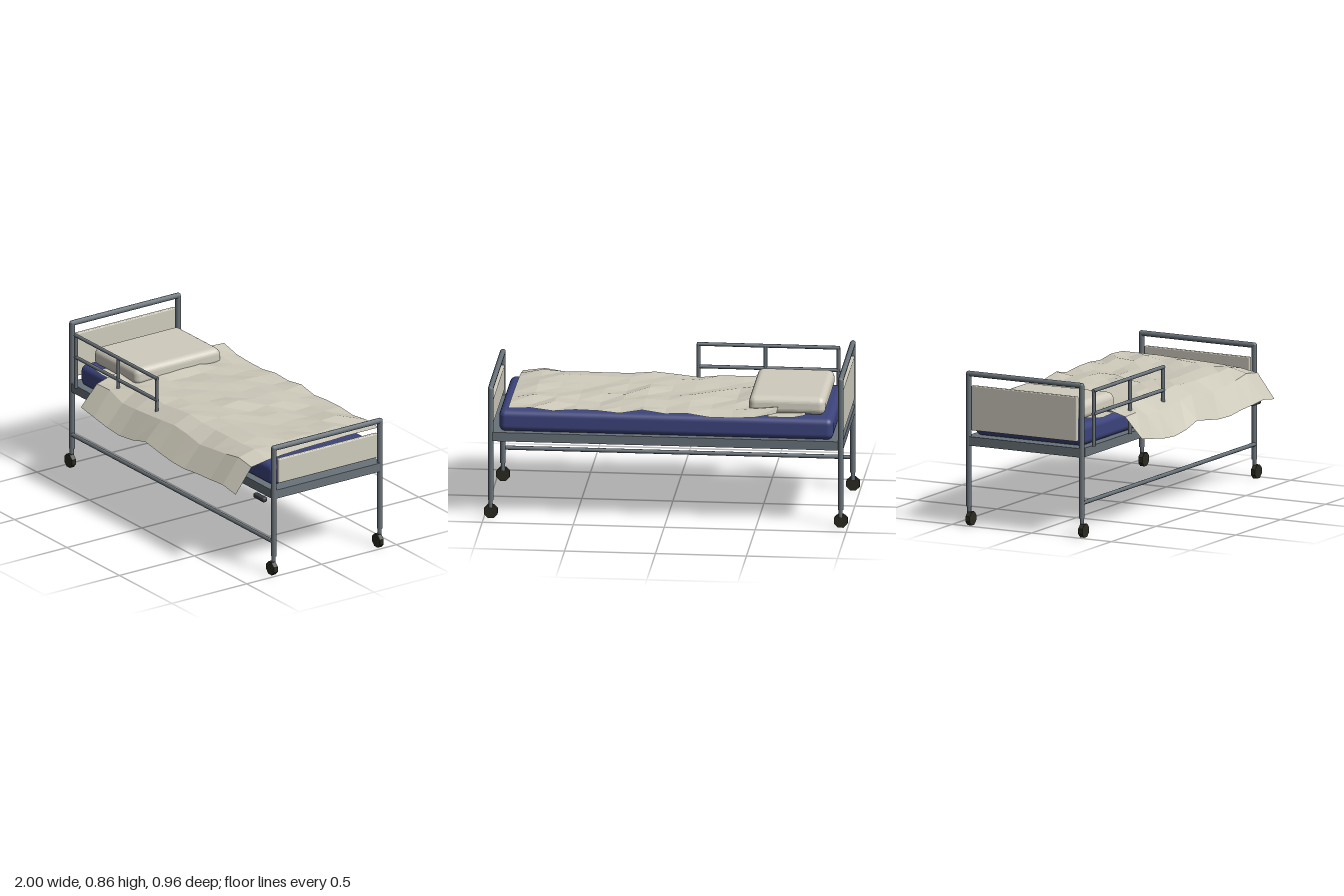
import * as THREE from 'three';
import { RoundedBoxGeometry } from 'three/addons/geometries/RoundedBoxGeometry.js';

const mat = (name, color, extra = {}) => {
  const m = new THREE.MeshStandardMaterial({ color, ...extra });
  m.name = name;
  return m;
};

export function createModel() {
  const bed = new THREE.Group();
  bed.name = 'hospitalBed';

  const metal = mat('greyMetal', 0x69737a);
  const navy = mat('navyMattress', 0x3c447c);
  const linen = mat('creamLinen', 0xcdc9ba, { flatShading: true, side: THREE.DoubleSide });
  const cream = mat('creamPanel', 0xcfcbbd);
  const rubber = mat('darkRubber', 0x2b2b22, { flatShading: true });
  const grip = mat('darkGrip', 0x3a3f45);

  const add = (name, geometry, material, x = 0, y = 0, z = 0) => {
    const mesh = new THREE.Mesh(geometry, material);
    mesh.name = name;
    mesh.position.set(x, y, z);
    bed.add(mesh);
    return mesh;
  };

  // Round bar between two points
  const bar = (name, a, b, r, material = metal) => {
    const p = new THREE.Vector3(...a), q = new THREE.Vector3(...b);
    const d = q.clone().sub(p);
    const mesh = add(name, new THREE.CylinderGeometry(r, r, d.length(), 10), material);
    mesh.position.copy(p).add(q).multiplyScalar(0.5);
    mesh.quaternion.setFromUnitVectors(new THREE.Vector3(0, 1, 0), d.normalize());
    return mesh;
  };

  const X = 0.962, ZF = 0.292, ZB = -0.416, ZC = (ZF + ZB) / 2, R = 0.0155;

  // Head and foot ends: posts, top rail, panel and casters
  const ends = [
    { side: -1, name: 'head', top: 0.844, panelTop: 0.78 },
    { side: 1, name: 'foot', top: 0.74, panelTop: 0.672 },
  ];
  for (const { side, name, top, panelTop } of ends) {
    const x = side * X;
    for (const z of [ZF, ZB]) {
      bar(name + 'Post', [x, 0.105, z], [x, top, z], R);
      add(name + 'PostCap', new THREE.SphereGeometry(R, 10, 6), metal, x, top, z);
      bar('casterStem', [x, 0.06, z + 0.002], [x, 0.11, z + 0.002], 0.0115);
      const wheel = add('casterWheel', new THREE.CylinderGeometry(0.041, 0.041, 0.026, 8), rubber, x, 0.038, z + 0.013);
      wheel.geometry.rotateY(Math.PI / 8);
      wheel.geometry.scale(0.98, 1, 0.98);
      wheel.rotation.x = Math.PI / 2;
    }
    bar(name + 'TopRail', [x, top, ZF], [x, top, ZB], R);
    const h = panelTop - 0.53;
    add(name + 'Panel', new RoundedBoxGeometry(0.024, h, 0.662, 2, 0.006), cream, x, 0.53 + h / 2, ZC - 0.002);
    add(name + 'CrossBeam', new THREE.BoxGeometry(0.026, 0.05, ZF - ZB), metal, x, 0.47, ZC);
  }

  // Bed base and lower front bar
  add('bedBase', new THREE.BoxGeometry(1.9, 0.05, 0.735), metal, 0, 0.47, ZC);
  bar('lowerBar', [-X, 0.19, 0.297], [X, 0.19, 0.297], 0.0115);

  // Mattress and pillow
  add('mattress', new RoundedBoxGeometry(1.836, 0.122, 0.684, 4, 0.035), navy, 0, 0.553, -0.067);
  const pillowGeo = new RoundedBoxGeometry(0.42, 0.1, 0.576, 4, 0.035);
  const pp = pillowGeo.attributes.position;
  for (let i = 0; i < pp.count; i++) {
    // Taper the pillow slightly toward its upper face
    const k = pp.getY(i) > 0 ? 1 - pp.getY(i) * 0.5 : 1;
    pp.setZ(i, pp.getZ(i) * k);
  }
  pillowGeo.computeVertexNormals();
  add('pillow', pillowGeo, cream, -0.66, 0.667, -0.067);

  // Creased cloth sheets: a height rule plus seeded bumps
  const noise = (i, j) => {
    const s = Math.sin(i * 127.1 + j * 311.7 + 4.3) * 43758.5453;
    return (s - Math.floor(s)) * 2 - 1;
  };
  const cloth = (name, x0, x1, z0, z1, nx, nz, height) => {
    const g = new THREE.PlaneGeometry(x1 - x0, z1 - z0, nx, nz);
    g.rotateX(-Math.PI / 2);
    g.translate((x0 + x1) / 2, 0, (z0 + z1) / 2);
    const p = g.attributes.position;
    for (let k = 0; k < p.count; k++) {
      const i = k % (nx + 1), j = Math.floor(k / (nx + 1));
      p.setY(k, height(p.getX(k), j, noise(i, j)));
    }
    g.computeVertexNormals();
    return add(name, g, linen);
  };

  // Blanket lies flat on top and drapes over the front side
  const drape = [0.646, 0.65, 0.652, 0.652, 0.652, 0.652, 0.65, 0.642, 0.605, 0.478];
  cloth('blanket', -0.615, 0.86, -0.48, 0.476, 12, 9, (x, j, n) =>
    drape[j] + 0.013 * n + (j > 7 ? 0.014 : 0.006) * Math.sin(x * 9.5 + 1.2));

  // Turned-back sheet showing under the pillow
  cloth('sheet', -0.765, -0.56, -0.41, 0.275, 3, 6, (x, j, n) => 0.628 + 0.009 * n);

  // Front safety rail
  const ZR = 0.323, r = 0.0105;
  for (const x of [-0.88, -0.478, -0.11]) bar('safetyRailUpright', [x, 0.496, ZR], [x, 0.805, ZR], r);
  for (const y of [0.805, 0.677]) bar('safetyRailBar', [-0.888, y, ZR], [-0.102, y, ZR], r);

  // Crank handle under the foot end
  add('crankHandle', new RoundedBoxGeometry(0.1, 0.028, 0.03, 2, 0.009), grip, 0.892, 0.437, 0.334);

  return bed;
}
